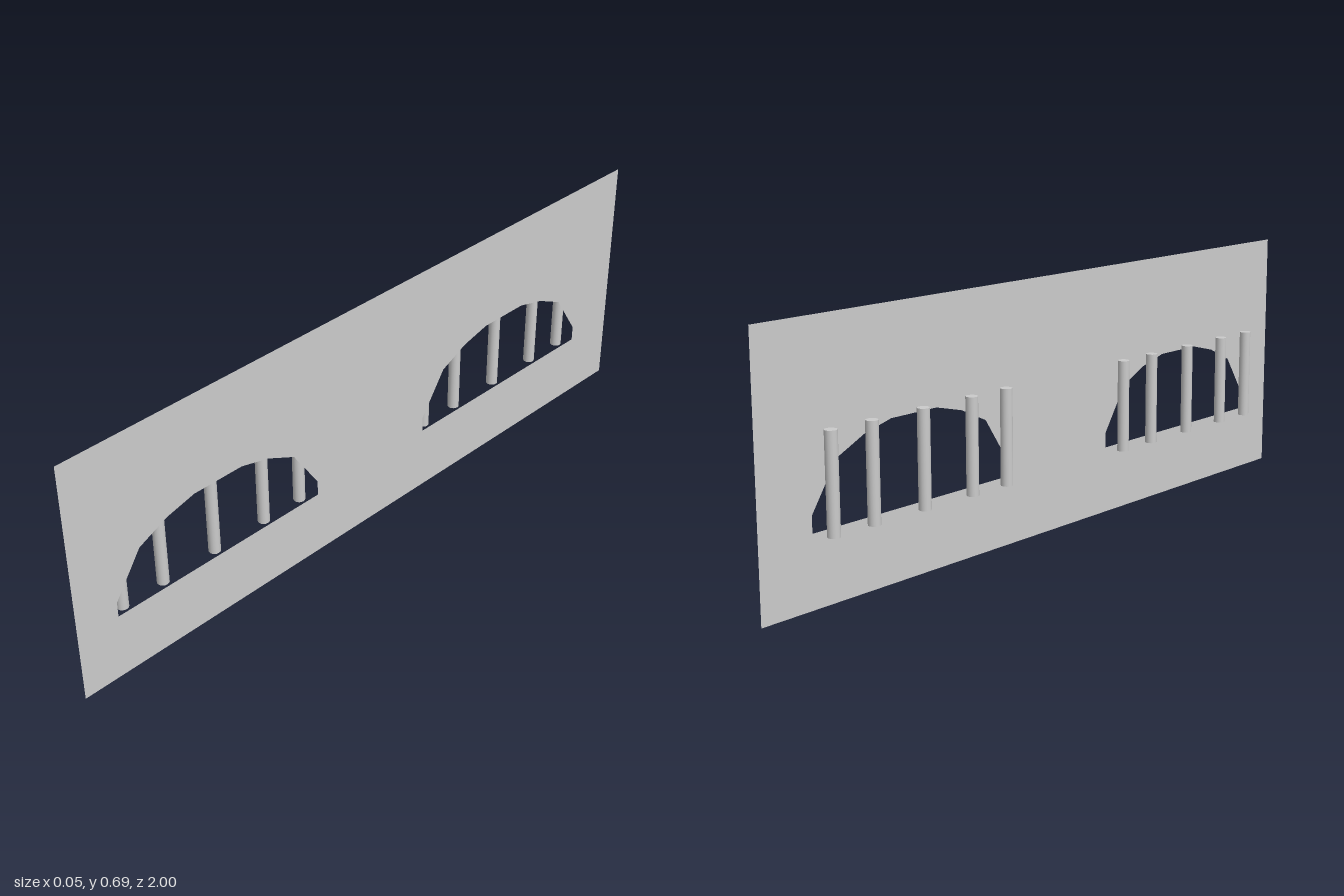
import * as THREE from 'three';

const PANEL_X = 0.024, BAR_X = -0.008, BAR_RADIUS = 0.016;
const BAR_BOTTOM = 0.175, BAR_TOP = 0.43;
const OPENING_CENTRES = [0.55, -0.512];
const BAR_OFFSETS = [-0.293, -0.167, 0, 0.167, 0.293];
// Half outline of an arched opening: [half width, height]
const ARCH = [[0.33, 0.185], [0.33, 0.228], [0.25, 0.349], [0.163, 0.39], [0.076, 0.412]];

export function createModel() {
  const model = new THREE.Group();
  model.name = 'barredWall';
  const grey = new THREE.MeshStandardMaterial({ color: 0xcccccc });
  const sheet = new THREE.MeshStandardMaterial({ color: 0xcccccc, side: THREE.DoubleSide });

  // Thin wall with two faceted arches, drawn along z
  const outline = new THREE.Shape([[-1, 0], [1, 0], [1, 0.692], [-1, 0.692]]
    .map(([z, y]) => new THREE.Vector2(z, y)));
  for (const centre of OPENING_CENTRES) {
    const left = ARCH.map(([w, y]) => new THREE.Vector2(centre - w, y));
    const right = ARCH.map(([w, y]) => new THREE.Vector2(centre + w, y)).reverse();
    outline.holes.push(new THREE.Path([...left, ...right]));
  }
  const wall = new THREE.Mesh(new THREE.ShapeGeometry(outline).rotateY(-Math.PI / 2), sheet);
  wall.name = 'wall';
  wall.position.x = PANEL_X;
  model.add(wall);

  // Upright bars standing behind each opening
  const barGeometry = new THREE.CylinderGeometry(BAR_RADIUS, BAR_RADIUS, BAR_TOP - BAR_BOTTOM, 16);
  OPENING_CENTRES.forEach((centre, i) => {
    const bars = new THREE.Group();
    bars.name = i === 0 ? 'frontWindowBars' : 'rearWindowBars';
    for (const offset of BAR_OFFSETS) {
      const bar = new THREE.Mesh(barGeometry, grey);
      bar.name = 'bar';
      bar.position.set(BAR_X, (BAR_TOP + BAR_BOTTOM) / 2, centre + offset);
      bars.add(bar);
    }
    model.add(bars);
  });
  return model;
}
